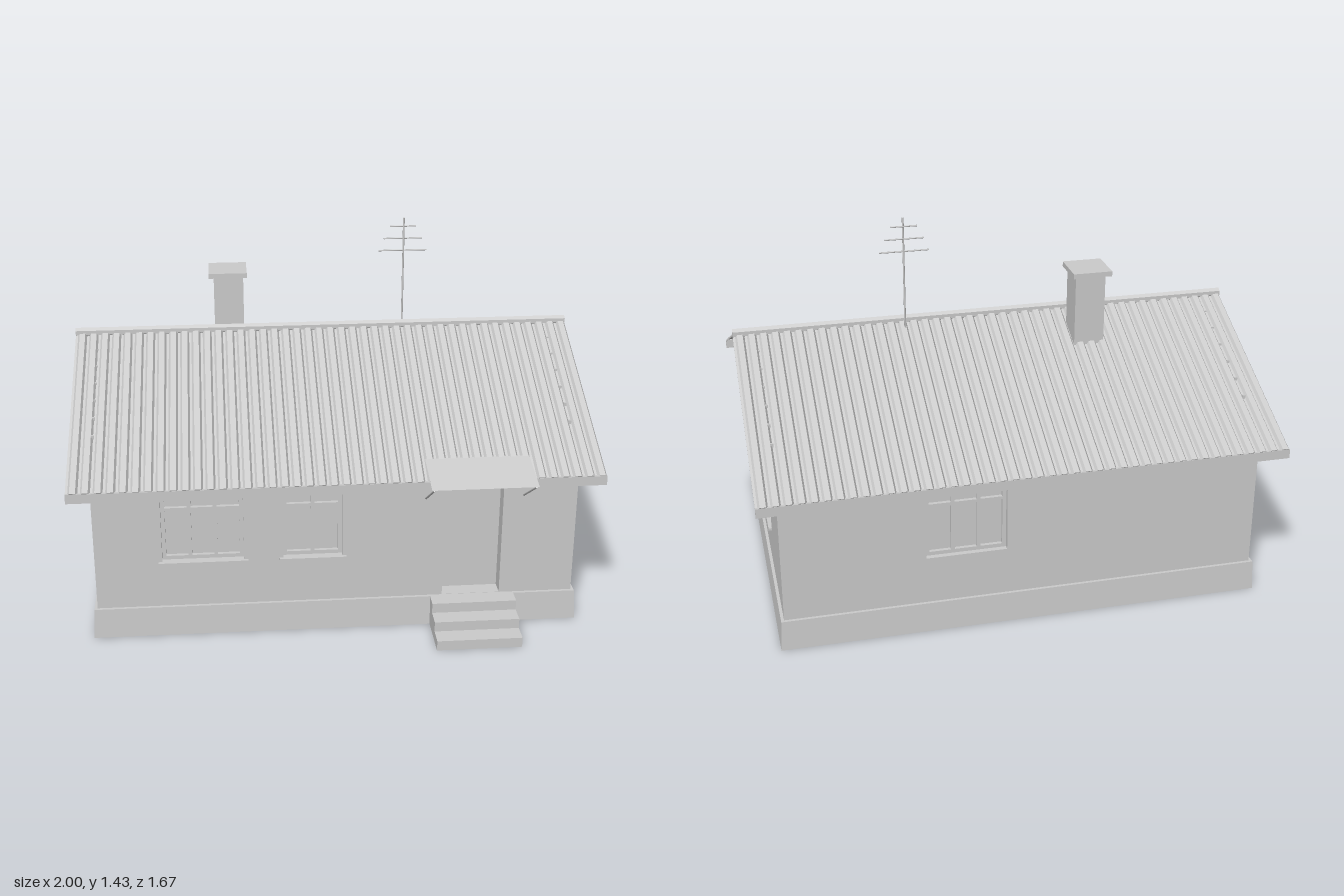
import * as THREE from 'three';

const grey = new THREE.MeshStandardMaterial({ color: 0xcccccc, side: THREE.DoubleSide });
grey.name = 'plain grey';

const RIDGE_Z = -0.05, WALL_TOP = 0.685, PLINTH_TOP = 0.12;

function add(parent, name, geometry) {
  const mesh = new THREE.Mesh(geometry, grey);
  mesh.name = name;
  parent.add(mesh);
  return mesh;
}

// Box given by its extents on each axis
function block(parent, name, [x0, x1], [y0, y1], [z0, z1]) {
  const mesh = add(parent, name, new THREE.BoxGeometry(x1 - x0, y1 - y0, z1 - z0));
  mesh.position.set((x0 + x1) / 2, (y0 + y1) / 2, (z0 + z1) / 2);
  return mesh;
}

// Round rod between two points
function rod(parent, name, a, b, radius) {
  const from = new THREE.Vector3(...a), to = new THREE.Vector3(...b);
  const mesh = add(parent, name, new THREE.CylinderGeometry(radius, radius, from.distanceTo(to), 6));
  mesh.position.copy(from).add(to).multiplyScalar(0.5);
  mesh.quaternion.setFromUnitVectors(new THREE.Vector3(0, 1, 0), to.sub(from).normalize());
}

function rectPoints(x0, x1, y0, y1) {
  return [[x0, y0], [x1, y0], [x1, y1], [x0, y1]].map(p => new THREE.Vector2(...p));
}

function panel(outer, holes, depth) {
  const shape = new THREE.Shape(outer);
  holes.forEach(h => shape.holes.push(new THREE.Path(h)));
  return new THREE.ExtrudeGeometry(shape, { depth, bevelEnabled: false });
}

// Recessed window: frame with panes above and below a transom, glass and optional sill
function addWindow(wall, { x0, x1, panes, sill }) {
  const y0 = 0.31, y1 = 0.61, edge = 0.015, transom = 0.515;
  const pitch = (x1 - x0 - edge) / panes;
  const holes = [];
  for (let i = 0; i < panes; i++) {
    const a = x0 + edge + i * pitch, b = a + pitch - edge;
    holes.push(rectPoints(a, b, y0 + edge, transom), rectPoints(a, b, transom + 0.012, y1 - edge));
  }
  const frame = add(wall, 'windowFrame', panel(rectPoints(x0, x1, y0, y1), holes, 0.02));
  frame.position.z = -0.04;
  block(wall, 'windowGlass', [x0, x1], [y0, y1], [-0.042, -0.034]);
  if (sill) block(wall, 'windowSill', [x0 - 0.015, x1 + 0.015], [0.3, 0.31], [-0.03, 0.013]);
}

// Wall slab in its own frame, outer face at z = 0
function addWall(parent, name, x0, x1, windows, door) {
  const wall = new THREE.Group();
  wall.name = name;
  const holes = windows.map(w => rectPoints(w.x0, w.x1, 0.31, 0.61));
  if (door) holes.push(rectPoints(door[0], door[1], PLINTH_TOP + 0.001, 0.585));
  add(wall, name + 'Slab', panel(rectPoints(x0, x1, PLINTH_TOP, WALL_TOP), holes, 0.07)).position.z = -0.07;
  windows.forEach(w => addWindow(wall, w));
  if (door) block(wall, 'door', door, [PLINTH_TOP, 0.585], [-0.069, -0.06]);
  parent.add(wall);
  return wall;
}

// Corrugated sheet: zigzag cross-section pushed down the slope
function corrugatedSheet(length) {
  const waves = 44, pitch = 2 / waves, high = 0.006, low = -0.005, thick = 0.004;
  const top = [];
  for (let i = 0; i < waves; i++) {
    const x = -1 + i * pitch;
    top.push([x, low], [x + pitch * 0.2, low], [x + pitch * 0.36, high], [x + pitch * 0.84, high]);
  }
  top.push([1, low]);
  const bottom = top.map(([x, y]) => [x, y - thick]).reverse();
  const outline = [...top, ...bottom].map(p => new THREE.Vector2(...p));
  return panel(outline, [], length);
}

export function createModel() {
  const house = new THREE.Group();
  house.name = 'house';

  // Plinth, narrowing slightly upwards
  const plinth = new THREE.BoxGeometry(1.876, PLINTH_TOP, 1.396);
  const p = plinth.attributes.position;
  for (let i = 0; i < p.count; i++) {
    if (p.getY(i) > 0) p.setXYZ(i, p.getX(i) * 0.993, p.getY(i), p.getZ(i) * 0.991);
  }
  plinth.computeVertexNormals();
  add(house, 'plinth', plinth).position.set(0, PLINTH_TOP / 2, RIDGE_Z);

  // Walls
  const front = addWall(house, 'frontWall', -0.92, 0.92, [
    { x0: -0.665, x1: -0.355, panes: 3, sill: true },
    { x0: -0.205, x1: 0.02, panes: 2, sill: true },
  ], [0.41, 0.635]);
  front.position.z = 0.63;
  const back = addWall(house, 'backWall', -0.92, 0.92, [{ x0: -0.38, x1: -0.07, panes: 3 }]);
  back.rotation.y = Math.PI;
  back.position.z = -0.73;
  const left = addWall(house, 'leftWall', -0.56, 0.66, [{ x0: 0.14, x1: 0.36, panes: 2, sill: true }]);
  left.rotation.y = Math.PI / 2;
  left.position.x = 0.92;
  const right = addWall(house, 'rightWall', -0.66, 0.56, [{ x0: -0.19, x1: 0.06, panes: 2 }]);
  right.rotation.y = -Math.PI / 2;
  right.position.x = -0.92;
  block(house, 'ceiling', [-0.9, 0.9], [0.66, 0.684], [-0.7, 0.6]);

  // Gables with vertical battens, base strip and hatch
  const triangle = [[-0.61, 0.685], [0.61, 0.685], [0, 0.955]].map(q => new THREE.Vector2(...q));
  const attic = add(house, 'gables', panel(triangle, [], 1.82));
  attic.rotation.y = Math.PI / 2;
  attic.position.set(-0.91, 0, RIDGE_Z);
  for (const s of [-1, 1]) {
    const span = (a, b) => (s > 0 ? [a, b] : [-b, -a]);
    block(house, 'gableStrip', span(0.9, 0.926), [0.685, 0.7], [-0.665, 0.565]);
    block(house, 'gableHatch', span(0.9, 0.935), [0.75, 0.86], [-0.115, 0.015]);
    for (let k = -6; k <= 6; k++) {
      const d = k * 0.0875;
      block(house, 'gableBatten', span(0.905, 0.917), [0.69, 0.995 - 0.418 * Math.abs(d)],
        [RIDGE_Z + d - 0.004, RIDGE_Z + d + 0.004]);
    }
  }

  // Two roof slopes with eave boards
  const run = 0.78, drop = 0.345;
  for (const side of [0, 1]) {
    const slope = new THREE.Group();
    slope.name = side ? 'backRoof' : 'frontRoof';
    const sheet = add(slope, 'roofSheet', corrugatedSheet(Math.hypot(run, drop)));
    sheet.rotation.x = Math.atan2(drop, run);
    sheet.position.y = 1;
    block(slope, 'eaveBoard', [-1, 1], [0.62, 0.657], [0.772, 0.782]);
    slope.rotation.y = side * Math.PI;
    slope.position.z = RIDGE_Z;
    house.add(slope);
  }
  const ridge = add(house, 'ridgeCap', new THREE.CylinderGeometry(0.018, 0.018, 2, 6).toNonIndexed());
  ridge.geometry.computeVertexNormals();
  ridge.rotation.z = Math.PI / 2;
  ridge.rotation.x = Math.PI / 2;
  ridge.position.set(0, 1.002, RIDGE_Z);

  // Chimney
  block(house, 'chimneyStack', [-0.44, -0.32], [0.85, 1.195], [-0.247, -0.13]);
  block(house, 'chimneyCap', [-0.46, -0.305], [1.193, 1.213], [-0.268, -0.113]);

  // Aerial
  rod(house, 'aerialMast', [0.33, 0.96, -0.096], [0.33, 1.435, -0.096], 0.004);
  for (const [y, x0, x1] of [[1.3, 0.23, 0.425], [1.35, 0.25, 0.405], [1.4, 0.275, 0.38]]) {
    rod(house, 'aerialBar', [x0, y, -0.098], [x1, y, -0.098], 0.003);
  }

  // Door canopy on two struts
  const canopy = add(house, 'doorCanopy', new THREE.PlaneGeometry(0.395, Math.hypot(0.19, 0.04)));
  canopy.rotation.x = -Math.PI / 2 + Math.atan2(0.04, 0.19);
  canopy.position.set(0.526, 0.685, 0.725);
  for (const x of [0.337, 0.713]) rod(house, 'canopyStrut', [x, 0.54, 0.63], [x, 0.663, 0.817], 0.004);

  // Steps
  [[0.12, 0.7], [0.08, 0.77], [0.04, 0.84]].forEach(([y, z]) =>
    block(house, 'step', [0.363, 0.69], [y - 0.04, y], [0.6, z]));

  return house;
}
